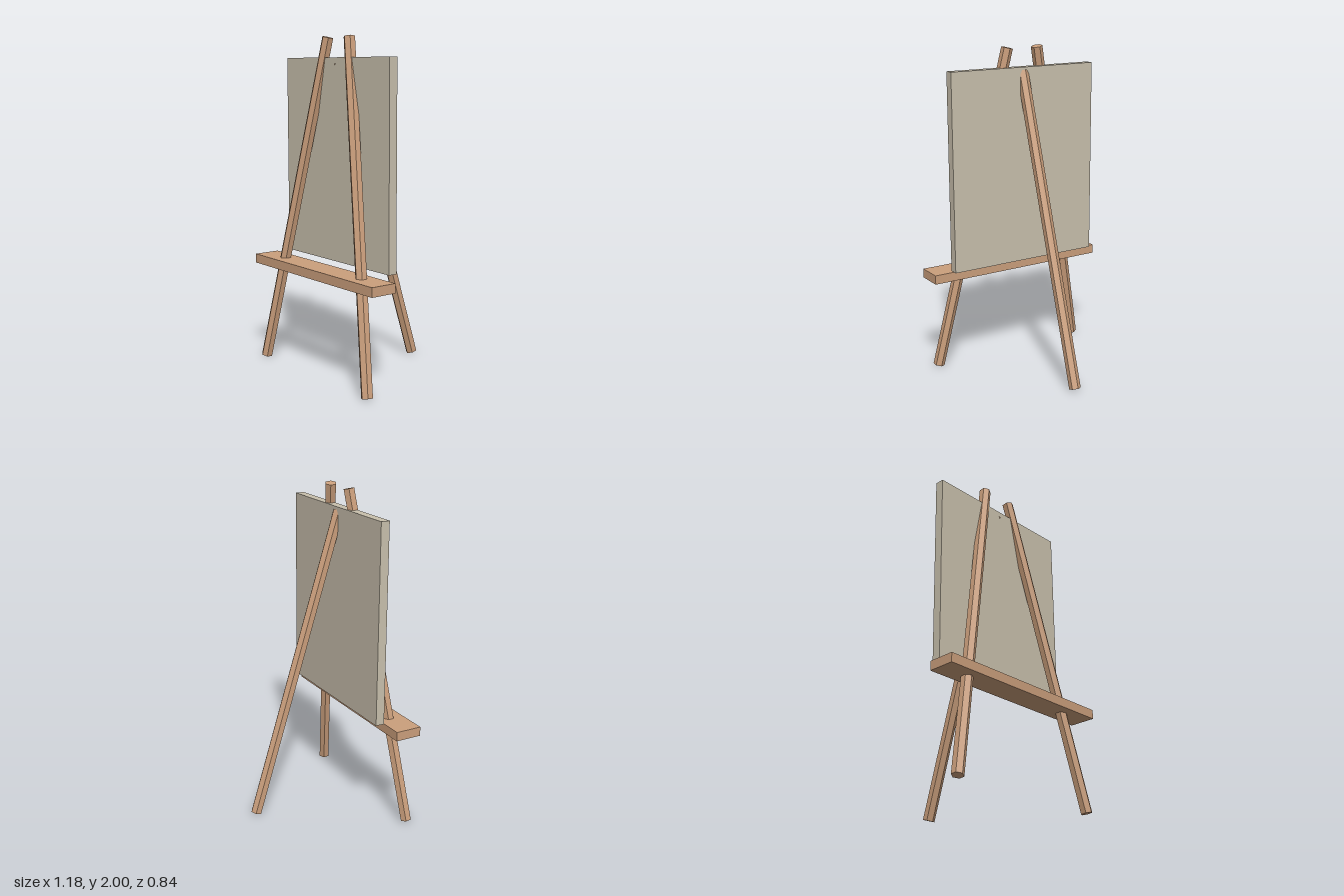
import * as THREE from 'three';

export function createModel() {
  const group = new THREE.Group();

  const wood = new THREE.MeshStandardMaterial({ color: 0xcb9f7c, flatShading: true });
  wood.name = 'warm wood';
  const canvas = new THREE.MeshStandardMaterial({ color: 0xc9c0ad, flatShading: true });
  canvas.name = 'canvas beige';

  // Hexagonal pole between two points
  function pole(name, from, to) {
    const a = new THREE.Vector3(...from);
    const dir = new THREE.Vector3(...to).sub(a);
    const mesh = new THREE.Mesh(new THREE.CylinderGeometry(0.035, 0.035, dir.length(), 6), wood);
    mesh.name = name;
    mesh.position.copy(a).addScaledVector(dir, 0.5);
    mesh.quaternion.setFromUnitVectors(new THREE.Vector3(0, 1, 0), dir.normalize());
    group.add(mesh);
  }

  // Box given by its lower and upper corners
  function slab(name, min, max, material) {
    const size = max.map((v, i) => v - min[i]);
    const mesh = new THREE.Mesh(new THREE.BoxGeometry(...size), material);
    mesh.name = name;
    mesh.position.set(...max.map((v, i) => (v + min[i]) / 2));
    group.add(mesh);
  }

  // Two splayed front legs, leaning back
  for (const [name, s] of [['leftFrontLeg', 1], ['rightFrontLeg', -1]]) {
    pole(name, [s * 0.513, 0.008, 0.387], [s * 0.104, 1.992, 0.193]);
  }

  // Rear prop, its top end set into the board
  pole('backLeg', [0, 0.011, -0.382], [0, 1.85, 0.189]);

  // Canvas board and the ledge below it
  slab('canvasBoard', [-0.495, 0.675, 0.165], [0.495, 1.875, 0.219], canvas);
  slab('ledge', [-0.588, 0.596, 0.25], [0.588, 0.652, 0.413], wood);

  return group;
}
